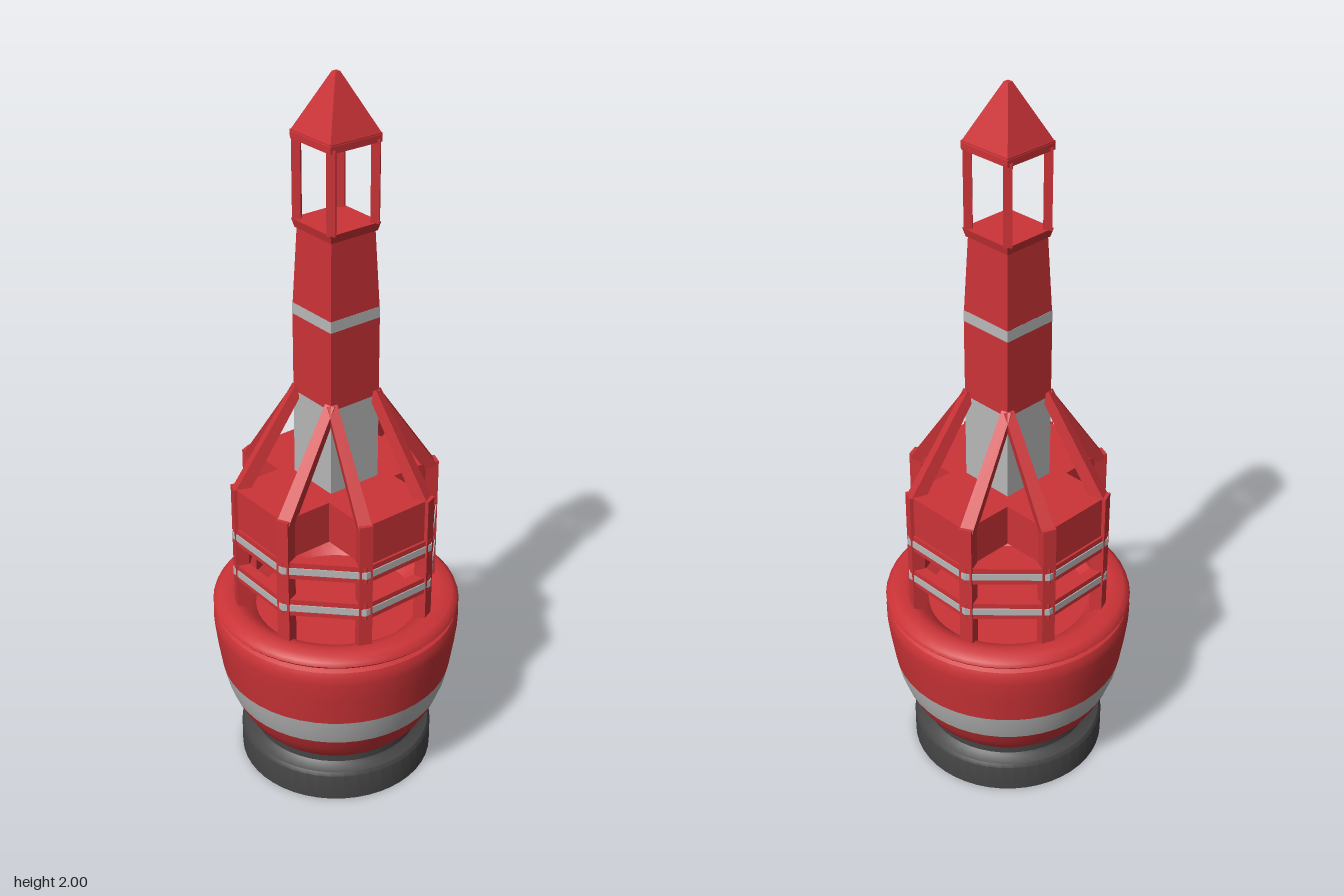
import * as THREE from 'three';
import { toCreasedNormals } from 'three/addons/utils/BufferGeometryUtils.js';

const DEG = Math.PI / 180;
const TOWER = 33.75 * DEG; // angle of the first tower corner
const CAGE = 11.25 * DEG;  // angle of the first cage post
const paint = (color) => new THREE.MeshStandardMaterial({ color, flatShading: true });
const red = paint(0xcc3337), grey = paint(0xb8b8b8);
const redSmooth = new THREE.MeshStandardMaterial({ color: 0xcc3337 });
const greySmooth = new THREE.MeshStandardMaterial({ color: 0xb8b8b8 });
const dark = new THREE.MeshStandardMaterial({ color: 0x444444 });

const polar = (r, a, y) => new THREE.Vector3(r * Math.sin(a), y, r * Math.cos(a));

export function createModel() {
  const model = new THREE.Group();
  const add = (name, geo, mat, parent = model) => {
    const mesh = new THREE.Mesh(geo, mat);
    mesh.name = name;
    parent.add(mesh);
    return mesh;
  };
  const group = (name) => {
    const g = new THREE.Group();
    g.name = name;
    model.add(g);
    return g;
  };

  // Round turned part from a [radius, y] profile
  const turned = (name, pts, mat) => add(name, toCreasedNormals(
    new THREE.LatheGeometry(pts.map(([r, y]) => new THREE.Vector2(r, y)), 48), 35 * DEG), mat);

  // Hollow polygonal ring
  const ring = (name, sides, start, ro, ri, y0, y1, mat, parent) => add(name,
    new THREE.LatheGeometry([[ri, y0], [ro, y0], [ro, y1], [ri, y1], [ri, y0]]
      .map(([r, y]) => new THREE.Vector2(r, y)), sides, start), mat, parent);

  // Square tower section between two heights, given corner radii
  const section = (name, r0, r1, y0, y1, mat, parent) => {
    const geo = new THREE.CylinderGeometry(r1, r0, y1 - y0, 4, 1, false, TOWER);
    geo.translate(0, (y0 + y1) / 2, 0);
    return add(name, geo, mat, parent);
  };

  // Square bar from a to b, tapering to the factor "taper", one side facing away from the axis
  const bar = (name, a, b, w, taper, parent) => {
    const len = a.distanceTo(b);
    const geo = new THREE.BoxGeometry(w, w, len);
    const p = geo.attributes.position;
    for (let i = 0; i < p.count; i++) {
      if (p.getZ(i) > 0) p.setXY(i, p.getX(i) * taper, p.getY(i) * taper);
    }
    const mesh = add(name, geo, red, parent);
    const zAxis = b.clone().sub(a).normalize();
    const out = new THREE.Vector3(a.x, 0, a.z).normalize();
    const xAxis = new THREE.Vector3().crossVectors(out, zAxis).normalize();
    const yAxis = new THREE.Vector3().crossVectors(zAxis, xAxis);
    mesh.quaternion.setFromRotationMatrix(new THREE.Matrix4().makeBasis(xAxis, yAxis, zAxis));
    mesh.position.copy(a).lerp(b, 0.5);
  };

  // Float
  turned('base', [[0, 0], [0.275, 0], [0.275, 0.08], [0.268, 0.09], [0.245, 0.098],
    [0.238, 0.105], [0.238, 0.13], [0, 0.13]], dark);
  turned('lowerHull', [[0, 0.125], [0.238, 0.125], [0.262, 0.15], [0.285, 0.19], [0.301, 0.225]], redSmooth);
  turned('hullBand', [[0.301, 0.225], [0.315, 0.265], [0.325, 0.31]], greySmooth);
  turned('upperHull', [[0.325, 0.31], [0.337, 0.39], [0.344, 0.45], [0.344, 0.475], [0.338, 0.49],
    [0.322, 0.498], [0.322, 0.503], [0.338, 0.506], [0.344, 0.513], [0.34, 0.524], [0.325, 0.535],
    [0.29, 0.538], [0.265, 0.53], [0.225, 0.49], [0, 0.49]], redSmooth);

  // Cage: eight posts and raking legs, two octagonal hoops
  const cage = group('cage');
  for (let i = 0; i < 8; i++) {
    const a = CAGE + i * 45 * DEG;
    const corner = TOWER + Math.floor(i / 2) * 90 * DEG;
    bar('post', polar(0.268, a, 0.49), polar(0.268, a, 0.905), 0.036, 1, cage);
    bar('rakingLeg', polar(0.266, a, 0.888), polar(0.1, corner, 1.16), 0.036, 0.75, cage);
  }
  for (const y of [0.642, 0.758]) {
    ring('hoop', 8, CAGE, 0.288, 0.255, y - 0.025, y + 0.025, red, cage);
    ring('hoopStripe', 8, CAGE, 0.291, 0.28, y - 0.01, y + 0.01, grey, cage);
  }

  // Cross-shaped platform under the tower, its arms ending between pairs of posts
  const h = 0.111, e = 0.262;
  const outline = [];
  for (let i = 0; i < 4; i++) {
    const c = [1, 0, -1, 0][i], s = [0, 1, 0, -1][i];
    for (const [x, y] of [[h, -h], [e, -h], [e, h]]) {
      outline.push(new THREE.Vector2(x * c - y * s, x * s + y * c));
    }
  }
  const crossGeo = new THREE.ExtrudeGeometry(new THREE.Shape(outline), { depth: 0.12, bevelEnabled: false });
  crossGeo.rotateX(-Math.PI / 2).rotateY(TOWER - 45 * DEG).translate(0, 0.785, 0);
  add('platform', crossGeo, red);

  // Tower
  const tower = group('tower');
  section('lowerTowerPanel', 0.112, 0.112, 0.9, 1.15, grey, tower);
  section('middleTower', 0.112, 0.112, 1.15, 1.37, red, tower);
  section('towerStripe', 0.113, 0.112, 1.37, 1.4, grey, tower);
  section('upperTower', 0.111, 0.098, 1.4, 1.61, red, tower);

  // Open lantern with a pyramid roof
  const lantern = group('lantern');
  section('lanternFloor', 0.104, 0.112, 1.605, 1.628, red, lantern);
  ring('lanternTopFrame', 4, TOWER, 0.112, 0.085, 1.832, 1.855, red, lantern);
  for (let i = 0; i < 4; i++) {
    const a = TOWER + i * 90 * DEG;
    bar('lanternPost', polar(0.097, a, 1.625), polar(0.097, a, 1.84), 0.022, 1, lantern);
  }
  section('roof', 0.113, 0.01, 1.85, 2, red, lantern);

  return model;
}
